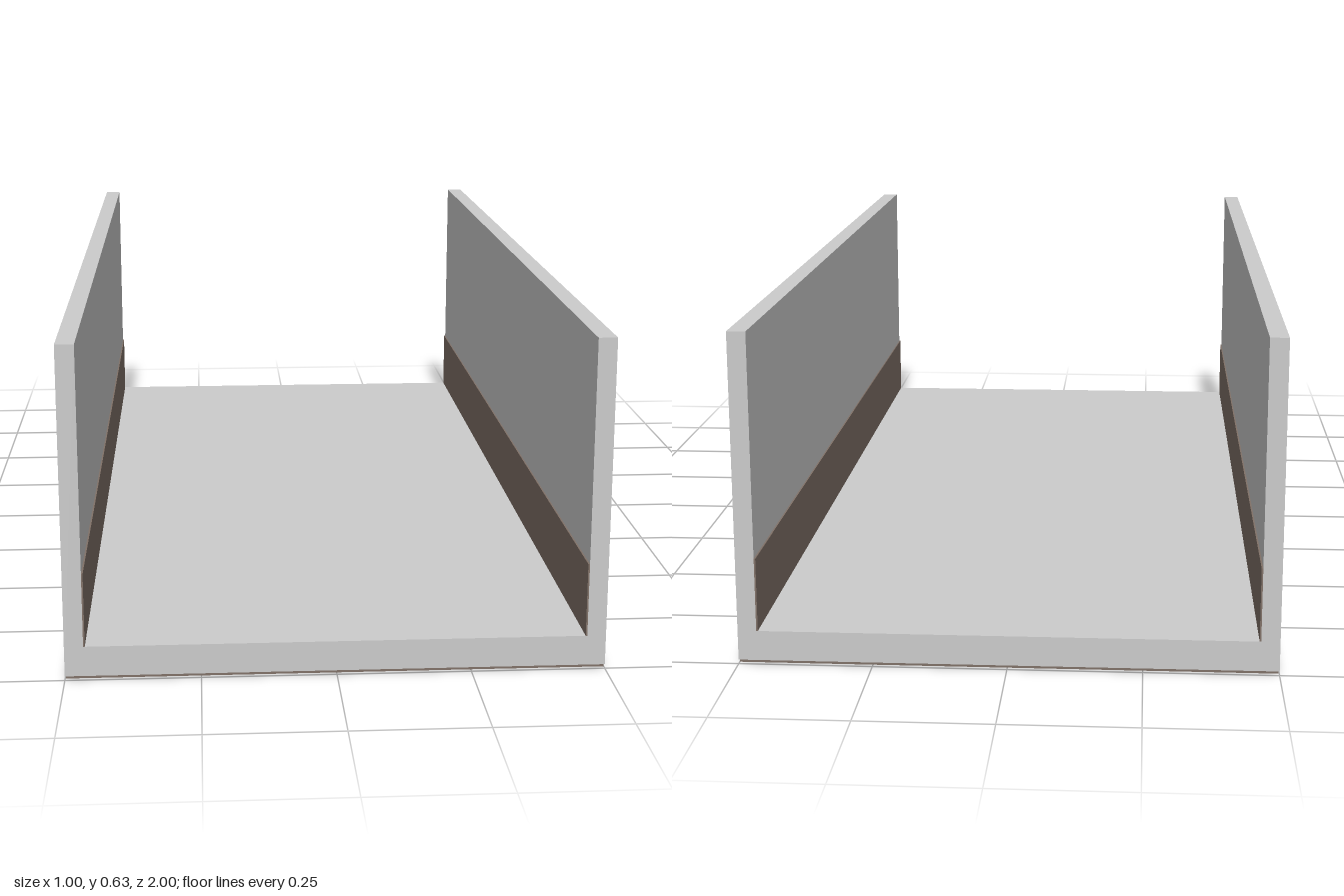
import * as THREE from 'three';

const grey = new THREE.MeshStandardMaterial({ color: 0xcccccc });
const brown = new THREE.MeshStandardMaterial({ color: 0x807168 });

export function createModel() {
  const model = new THREE.Group();

  // Box given by its lower and upper corners
  const addBox = (name, material, [x0, y0, z0], [x1, y1, z1]) => {
    const mesh = new THREE.Mesh(new THREE.BoxGeometry(x1 - x0, y1 - y0, z1 - z0), material);
    mesh.position.set((x0 + x1) / 2, (y0 + y1) / 2, (z0 + z1) / 2);
    mesh.name = name;
    model.add(mesh);
  };

  // U-shaped channel: floor and two side walls in one extrusion
  const outer = 0.5, inner = 0.465, base = 0.008, floor = 0.065, top = 0.63;
  const profile = new THREE.Shape([
    [-outer, base], [outer, base], [outer, top], [inner, top],
    [inner, floor], [-inner, floor], [-inner, top], [-outer, top],
  ].map(([x, y]) => new THREE.Vector2(x, y)));
  const channelGeometry = new THREE.ExtrudeGeometry(profile, { depth: 2, bevelEnabled: false });
  channelGeometry.translate(0, 0, -1);
  const channel = new THREE.Mesh(channelGeometry, grey);
  channel.name = 'channel';
  model.add(channel);

  // Skirting strips low on the inner faces of both walls
  addBox('leftSkirting', brown, [inner - 0.003, floor, -1], [inner, 0.205, 1]);
  addBox('rightSkirting', brown, [-inner, floor, -1], [-inner + 0.003, 0.205, 1]);

  // Dark sheet under the floor, with a grey panel in its middle
  addBox('undersideSheet', brown, [-0.498, 0.003, -0.998], [0.498, base, 0.998]);
  addBox('undersidePanel', grey, [-0.167, 0, -0.33], [0.167, 0.003, 0.33]);

  return model;
}
